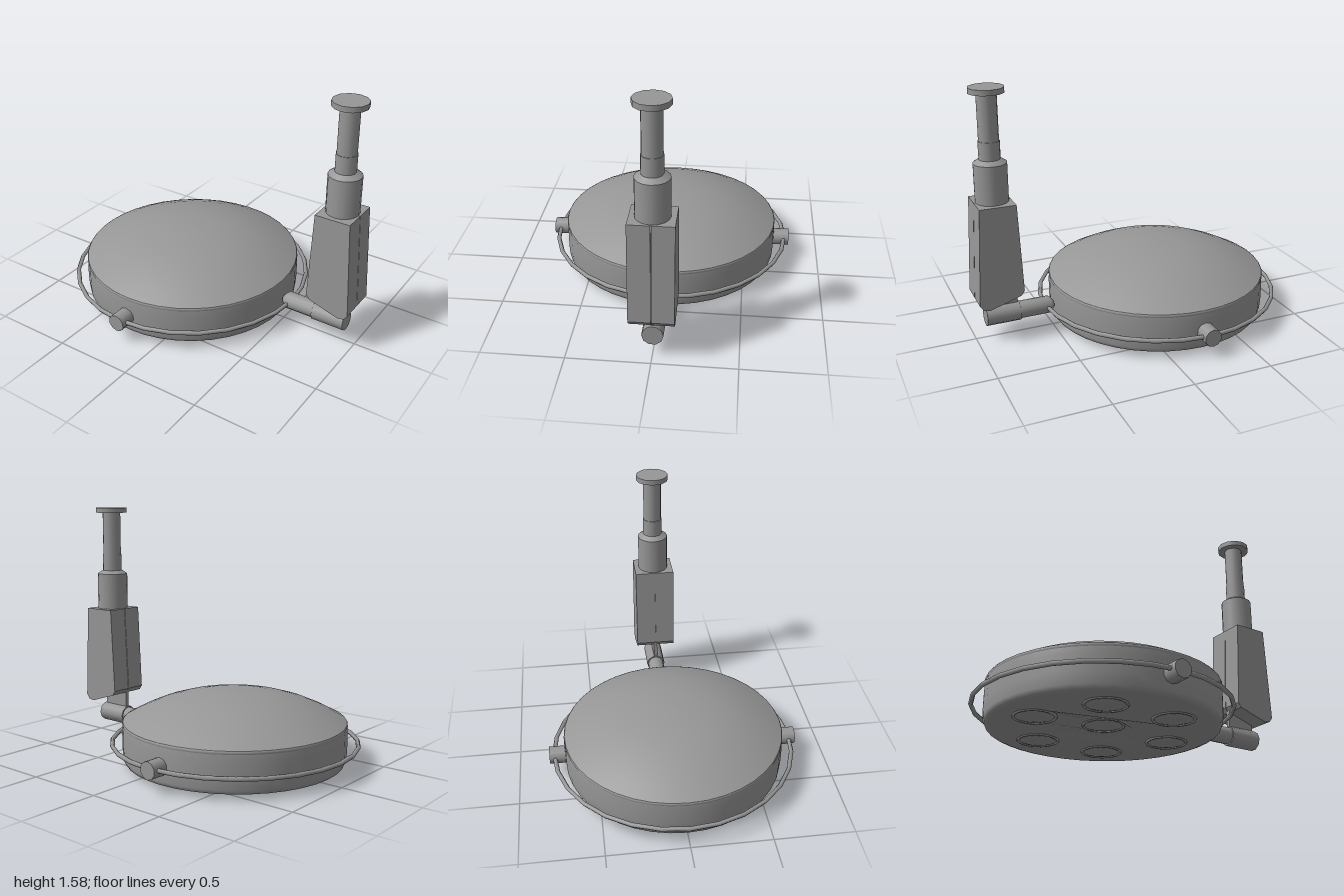
import * as THREE from 'three';

const mat = new THREE.MeshStandardMaterial({ color: 0x979797, side: THREE.DoubleSide });
const HEAD_X = -0.218, ARM_X = 0.854, ARM_Z = -0.002;

function add(parent, name, geometry, x = 0, y = 0, z = 0) {
  const mesh = new THREE.Mesh(geometry, mat);
  mesh.name = name;
  mesh.position.set(x, y, z);
  parent.add(mesh);
  return mesh;
}

// Turned part from [radius, height] pairs
function lathe(points, sides) {
  return new THREE.LatheGeometry(points.map(([r, y]) => new THREE.Vector2(r, y)), sides);
}

function createHead() {
  const head = new THREE.Group();
  head.name = 'lampHead';
  head.position.x = HEAD_X;

  // Shallow dome, seam and drum wall
  add(head, 'dome', lathe([[0.698, 0.275], [0.6, 0.327], [0.48, 0.379], [0.36, 0.416],
    [0.24, 0.44], [0.12, 0.452], [0, 0.455]], 40));
  add(head, 'seam', lathe([[0.7, 0.256], [0.702, 0.262], [0.702, 0.27], [0.698, 0.276]], 40));
  add(head, 'drumWall', lathe([[0.665, 0.02], [0.686, 0.026], [0.697, 0.05], [0.702, 0.12],
    [0.702, 0.22], [0.699, 0.257]], 40));

  // Underside with seven lamp openings, drawn up a little around the central one
  const spots = [[0, 0]];
  for (let i = 0; i < 6; i++) {
    const a = i * Math.PI / 3;
    spots.push([0.45 * Math.cos(a), 0.45 * Math.sin(a)]);
  }
  const plate = new THREE.Shape().absarc(0, 0, 0.667, 0, Math.PI * 2);
  for (const [x, z] of spots) {
    plate.holes.push(new THREE.Path().absarc(x, z, 0.12, 0, Math.PI * 2, true));
  }
  const lift = r => 0.045 * Math.max(0, 1 - r / 0.34);
  const underside = new THREE.ShapeGeometry(plate, 20).rotateX(Math.PI / 2);
  const pos = underside.attributes.position;
  for (let i = 0; i < pos.count; i++) pos.setY(i, 0.02 + lift(Math.hypot(pos.getX(i), pos.getZ(i))));
  underside.computeVertexNormals();
  add(head, 'underside', underside);

  // Gently bulging lenses in slim rims
  const rim = new THREE.TorusGeometry(0.12, 0.01, 6, 20).rotateX(Math.PI / 2);
  const lens = lathe([[0, 0], [0.04, 0.002], [0.08, 0.009], [0.122, 0.022]], 20);
  for (const [x, z] of spots) {
    const rise = x || z ? 0 : lift(0.12);
    add(head, 'lensRim', rim, x, 0.022 + rise, z);
    add(head, 'lens', lens, x, rise, z);
  }

  // Handrail hoop with a pivot stub at front and back
  const hoop = new THREE.TorusGeometry(0.768, 0.014, 6, 28).rotateX(Math.PI / 2);
  add(head, 'hoop', hoop, -0.004, 0.143, -0.002);
  for (const s of [1, -1]) {
    const stub = new THREE.CylinderGeometry(0.055, 0.055, 0.12, 10).rotateX(Math.PI / 2);
    add(head, 'pivotStub', stub, -0.008, 0.14, s * 0.74);
  }
  return head;
}

function createArm() {
  const arm = new THREE.Group();
  arm.name = 'arm';

  // Horizontal joint joining the hoop
  const rod = lathe([[0, 0.495], [0.025, 0.495], [0.055, 0.525], [0.055, 0.72]], 12).rotateZ(-Math.PI / 2);
  add(arm, 'jointRod', rod, 0, 0.146, ARM_Z);
  const sleeve = new THREE.CylinderGeometry(0.064, 0.064, 0.215, 10).rotateZ(Math.PI / 2);
  add(arm, 'jointSleeve', sleeve, 0.827, 0.146, ARM_Z);
  add(arm, 'jointPlate', new THREE.BoxGeometry(0.19, 0.16, 0.025), 0.825, 0.28, ARM_Z);

  // Tapered housing: two shells either side of a slightly inset core
  const outline = inset => new THREE.Shape([
    [0.742 + inset, 0.89], [0.715 + inset, 0.335], [0.735 + inset, 0.305], [0.93, 0.242 + inset],
    [0.972 - inset, 0.25 + inset], [0.994 - inset, 0.28 + inset], [0.965 - inset, 0.89],
  ].map(p => new THREE.Vector2(...p)));
  const shell = new THREE.ExtrudeGeometry(outline(0), { depth: 0.13, bevelEnabled: false });
  add(arm, 'housingShell', shell, 0, 0, 0.002 + ARM_Z);
  add(arm, 'housingShell', shell, 0, 0, -0.132 + ARM_Z);
  const core = new THREE.ExtrudeGeometry(outline(0.008), { depth: 0.006, bevelEnabled: false });
  add(arm, 'housingCore', core, 0, 0, -0.003 + ARM_Z);

  // Stepped column: [name, bottom radius, top radius, bottom, top, sides]
  const steps = [
    ['collar', 0.101, 0.101, 0.88, 1.128, 16],
    ['collarShoulder', 0.101, 0.068, 1.128, 1.15, 16],
    ['lowerPost', 0.064, 0.064, 1.145, 1.26, 14],
    ['upperPost', 0.06, 0.06, 1.26, 1.545, 14],
    ['ceilingCap', 0.107, 0.107, 1.542, 1.575, 12],
  ];
  for (const [name, r0, r1, y0, y1, sides] of steps) {
    add(arm, name, new THREE.CylinderGeometry(r1, r0, y1 - y0, sides), ARM_X, (y0 + y1) / 2, ARM_Z);
  }
  return arm;
}

export function createModel() {
  const model = new THREE.Group();
  model.name = 'surgicalLamp';
  model.add(createHead(), createArm());
  return model;
}
